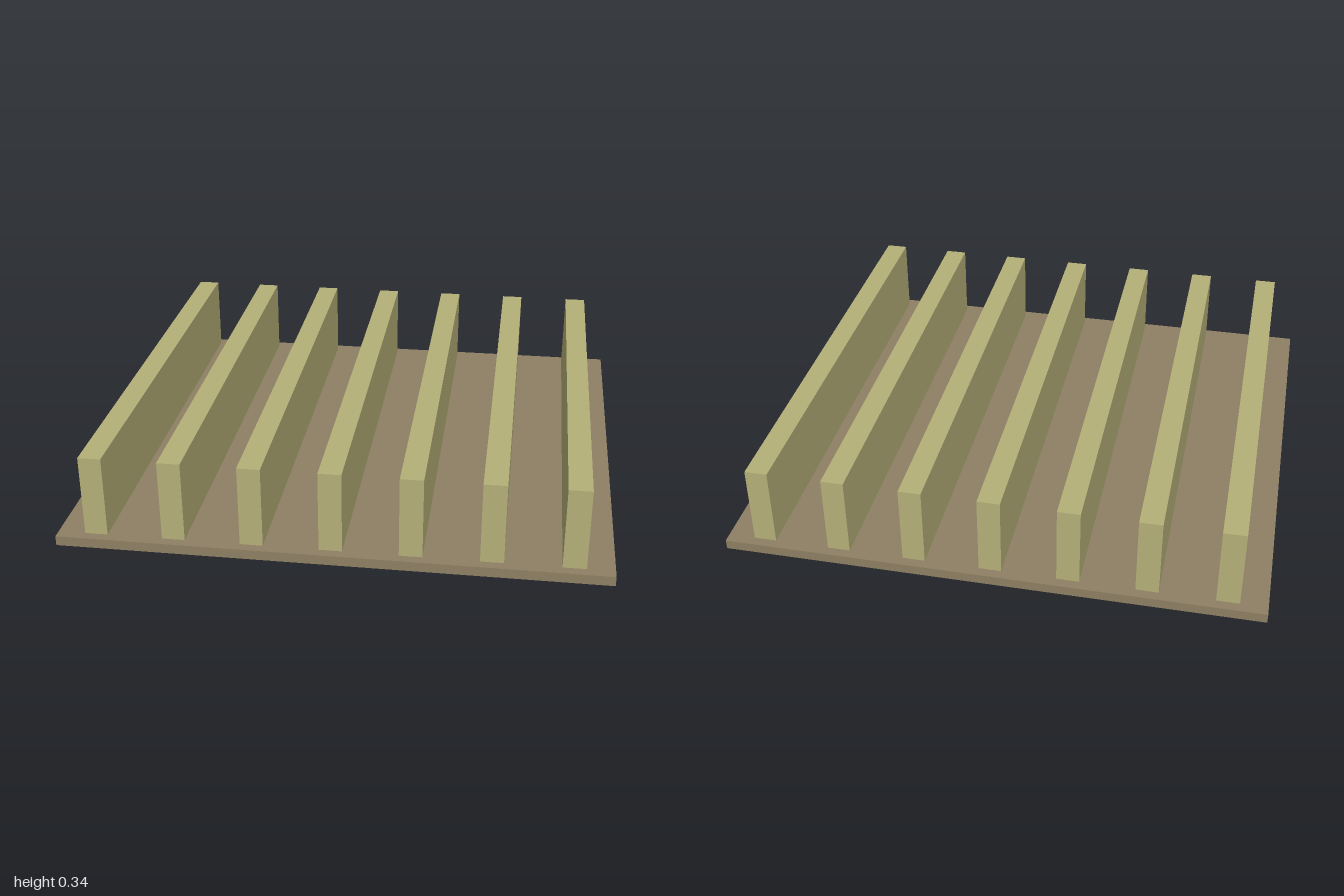
import * as THREE from 'three';

export function createModel() {
  const group = new THREE.Group();
  const boardMaterial = new THREE.MeshStandardMaterial({ color: 0x8f8064 });
  const barMaterial = new THREE.MeshStandardMaterial({ color: 0xb5b078 });

  // Adds a box spanning y0 to y1, centred on z = 0
  function addBox(name, material, width, depth, y0, y1, x = 0) {
    const mesh = new THREE.Mesh(new THREE.BoxGeometry(width, y1 - y0, depth), material);
    mesh.name = name;
    mesh.position.set(x, (y0 + y1) / 2, 0);
    group.add(mesh);
  }

  // Thin base board
  addBox('baseBoard', boardMaterial, 2, 1.86, 0, 0.037);

  // Seven parallel upright bars, set into the board just above its underside
  const barCount = 7;
  const spacing = 0.286;
  for (let i = 0; i < barCount; i++) {
    const x = (i - (barCount - 1) / 2) * spacing;
    addBox(`bar${i + 1}`, barMaterial, 0.084, 1.786, 0.002, 0.345, x);
  }

  return group;
}
